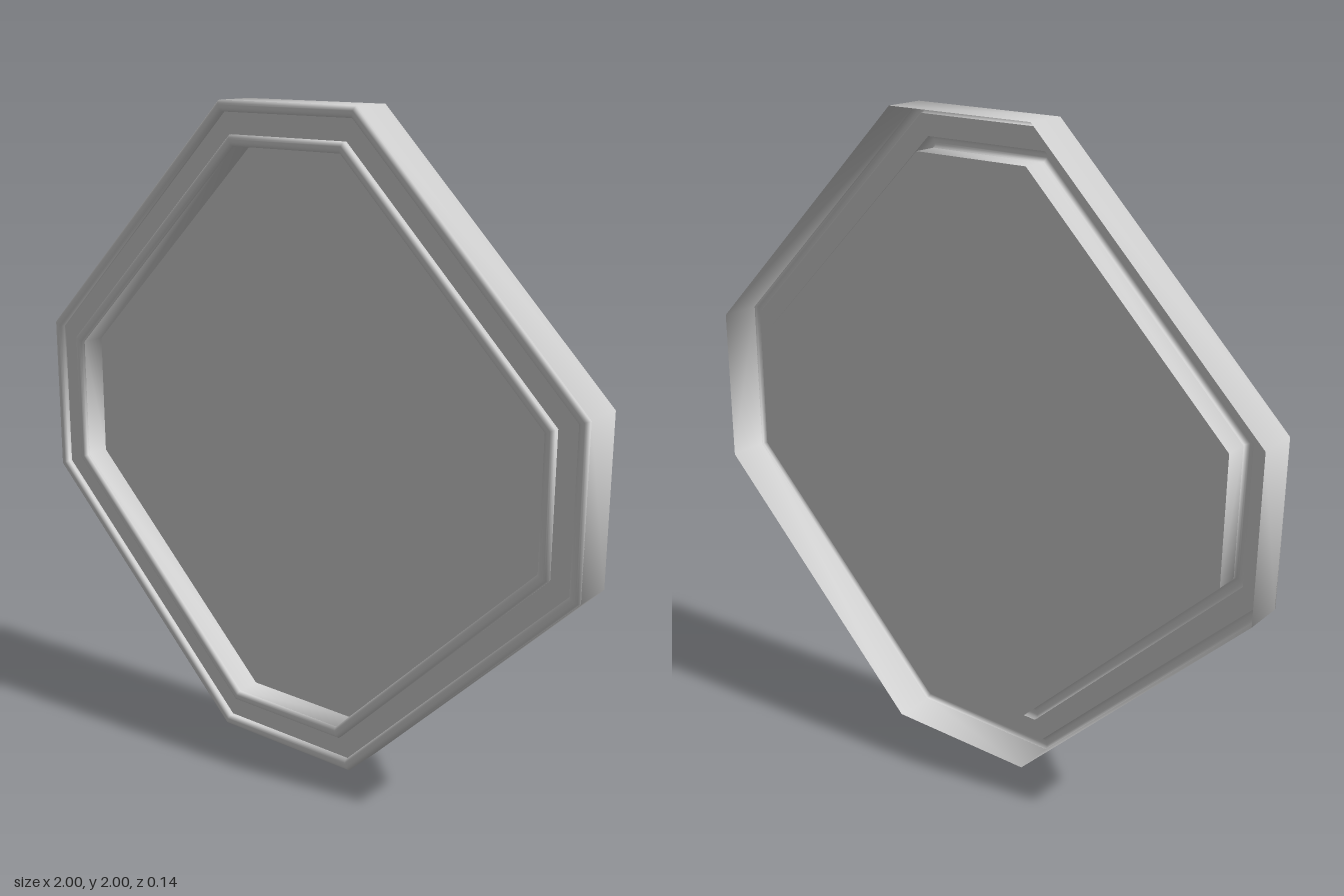
import * as THREE from 'three';

const FRONT = 0.072, BACK = -0.072, GROOVE = 0.052, PANEL_Z = -0.018;
const BEAD = 0.033;    // width of each raised bead
const INNER = 0.13;    // inset of the panel opening

const material = new THREE.MeshStandardMaterial({ color: 0xcccccc, side: THREE.DoubleSide });

// Corners of the octagon, moved inward by an inset, counter-clockwise from the front
function octagon(inset) {
  const a = 0.25 - inset * Math.tan(Math.PI / 8), b = 1 - inset;
  return [[b, -a], [b, a], [a, b], [-a, b], [-b, a], [-b, -a], [-a, -b], [a, -b]]
    .map(([x, y]) => new THREE.Vector2(x, y + 1));
}

// Sweeps a profile of [inset, z] points round the octagon
function ring(name, profile) {
  const positions = [], index = [];
  profile.forEach(([inset, z], j) => {
    octagon(inset).forEach((p, i) => {
      positions.push(p.x, p.y, z);
      if (j === 0) return;
      const k = (i + 1) % 8, lo = (j - 1) * 8, hi = j * 8;
      index.push(lo + i, lo + k, hi + k, lo + i, hi + k, hi + i);
    });
  });
  const geometry = new THREE.BufferGeometry();
  geometry.setAttribute('position', new THREE.Float32BufferAttribute(positions, 3));
  geometry.setIndex(index);
  geometry.computeVertexNormals();
  const mesh = new THREE.Mesh(geometry, material);
  mesh.name = name;
  return mesh;
}

// Rounded bead profile starting at an inset
function bead(start, zStart, zEnd) {
  const r = 0.013, points = [[start, zStart]];
  for (let i = 0; i <= 4; i++) {
    const t = (i / 4) * Math.PI / 2;
    points.push([start + r * (1 - Math.cos(t)), FRONT - r * (1 - Math.sin(t))]);
  }
  for (let i = 0; i <= 4; i++) {
    const t = (i / 4) * Math.PI / 2;
    points.push([start + BEAD - r * (1 - Math.sin(t)), FRONT - r * (1 - Math.cos(t))]);
  }
  points.push([start + BEAD, zEnd]);
  return points;
}

export function createModel() {
  const model = new THREE.Group();
  model.name = 'octagonalFrame';

  // Hollow moulded frame, open at the back
  const edge = FRONT - 0.013;
  model.add(
    ring('outerWall', [[0, BACK], [0, edge]]),
    ring('outerBead', bead(0, edge - 0.001, GROOVE)),
    ring('groove', [[BEAD, GROOVE], [INNER - BEAD, GROOVE]]),
    ring('innerBead', bead(INNER - BEAD, GROOVE, edge - 0.001)),
    ring('innerWall', [[INNER, edge], [INNER, PANEL_Z]]),
  );

  // Recessed flat panel
  const panel = new THREE.Mesh(new THREE.ShapeGeometry(new THREE.Shape(octagon(INNER))), material);
  panel.name = 'panel';
  panel.position.z = PANEL_Z;
  model.add(panel);

  return model;
}
